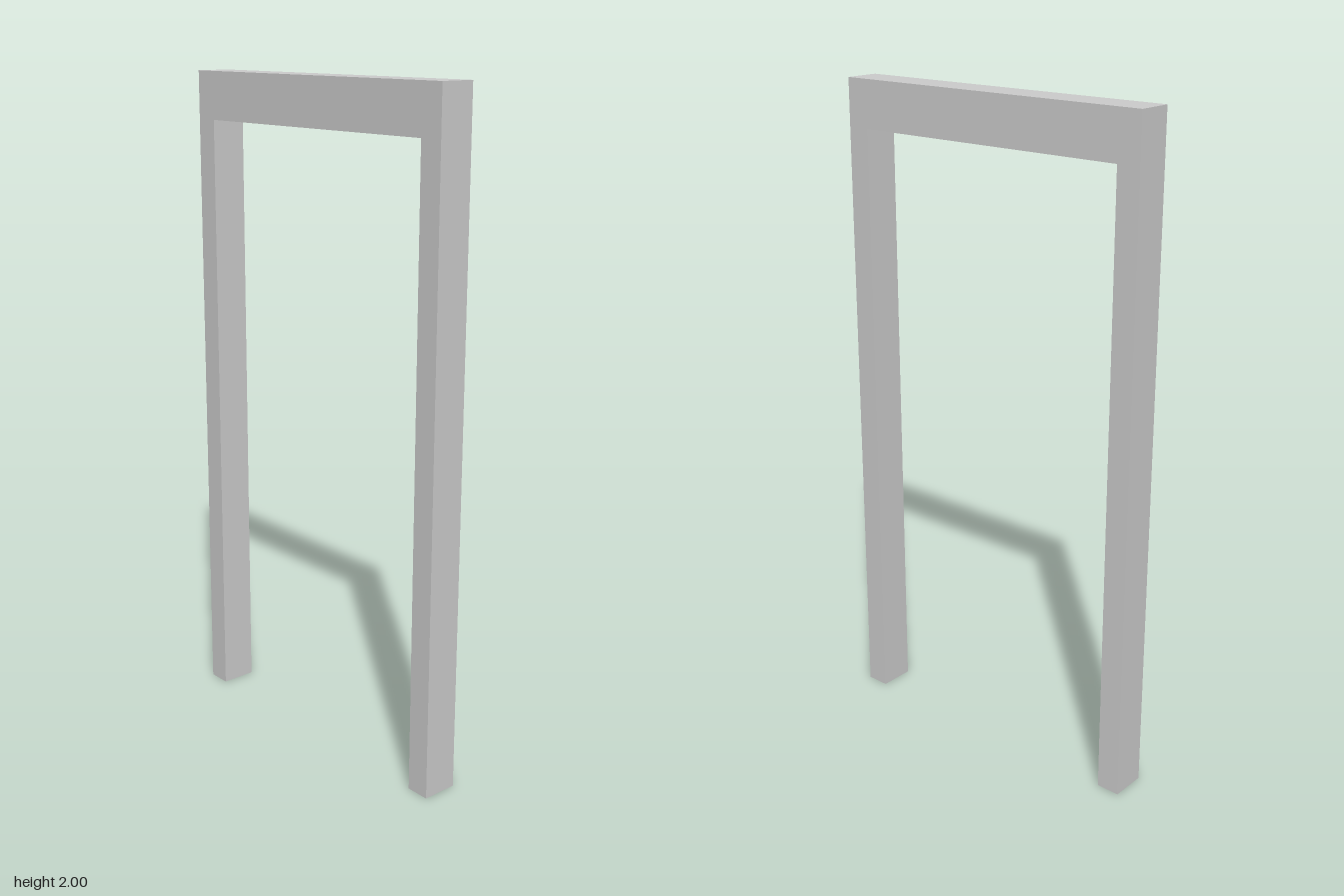
import * as THREE from 'three';

const HEIGHT = 2;
const HALF_WIDTH = 0.518;
const HALF_OPENING = 0.446;
const LINTEL_BOTTOM = 1.857;
const DEPTH = 0.109;

export function createModel() {
  const model = new THREE.Group();
  model.name = 'doorFrame';

  // Two posts and the lintel as one seamless outline
  const outline = new THREE.Shape([
    [-HALF_WIDTH, 0],
    [-HALF_OPENING, 0],
    [-HALF_OPENING, LINTEL_BOTTOM],
    [HALF_OPENING, LINTEL_BOTTOM],
    [HALF_OPENING, 0],
    [HALF_WIDTH, 0],
    [HALF_WIDTH, HEIGHT],
    [-HALF_WIDTH, HEIGHT],
  ].map(([x, y]) => new THREE.Vector2(x, y)));

  const geometry = new THREE.ExtrudeGeometry(outline, { depth: DEPTH, bevelEnabled: false });
  geometry.translate(0, 0, -DEPTH / 2);

  const frame = new THREE.Mesh(geometry, new THREE.MeshStandardMaterial({ color: 0xcccccc }));
  frame.name = 'postsAndLintel';
  model.add(frame);
  return model;
}
